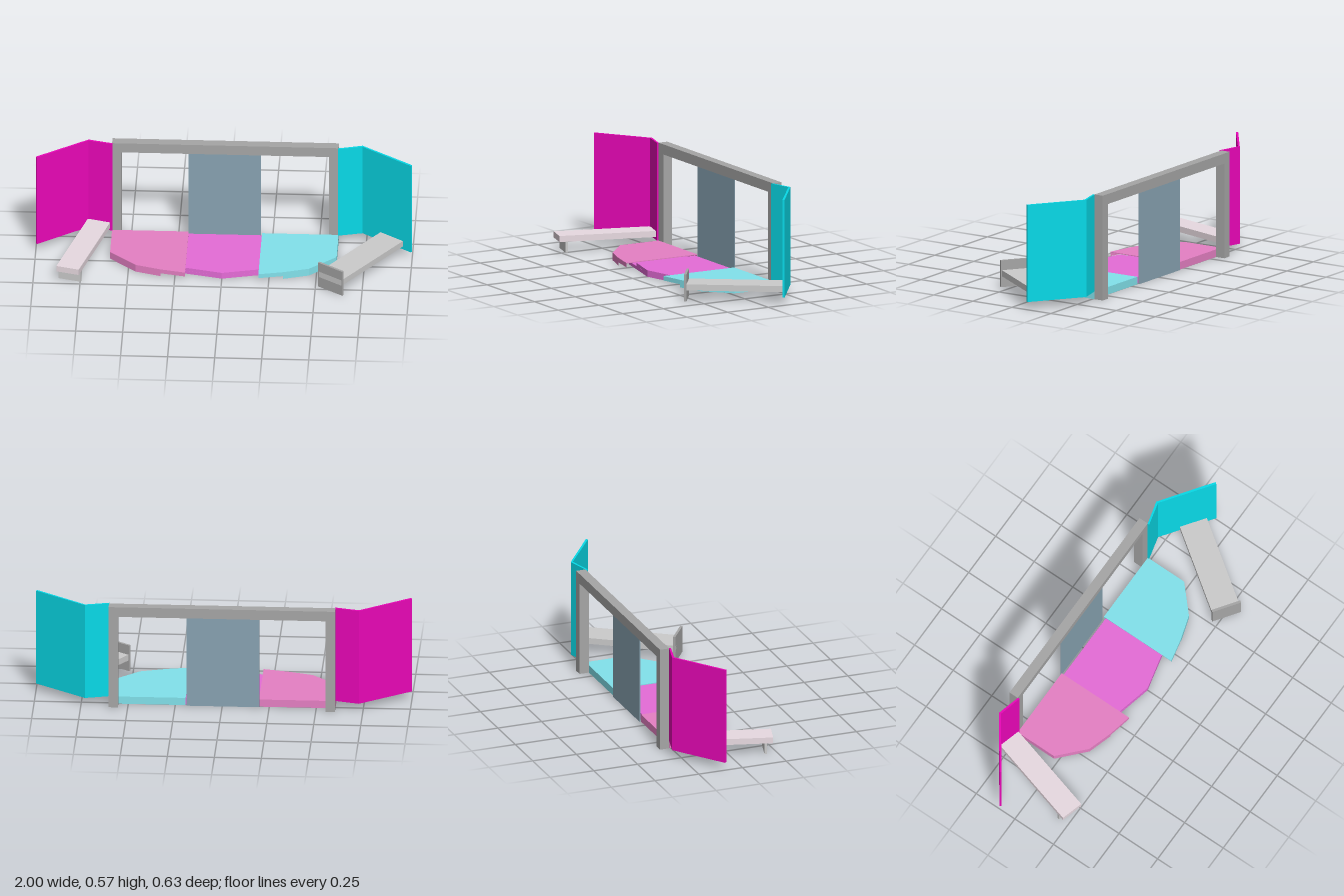
import * as THREE from 'three';

const mat = (color) => new THREE.MeshStandardMaterial({ color, flatShading: true, side: THREE.DoubleSide });

function add(parent, name, geometry, material, x = 0, y = 0, z = 0) {
  const mesh = new THREE.Mesh(geometry, material);
  mesh.name = name;
  mesh.position.set(x, y, z);
  parent.add(mesh);
  return mesh;
}

// Upright prism from a plan outline of [x, z] points
function prism(points, height) {
  const shape = new THREE.Shape(points.map(([x, z]) => new THREE.Vector2(x, -z)));
  return new THREE.ExtrudeGeometry(shape, { depth: height, bevelEnabled: false }).rotateX(-Math.PI / 2);
}

// Thin wall following a plan path; bottoms gives the lower edge of each segment
function wall(points, bottoms, top) {
  const pos = [];
  bottoms.forEach((b, i) => {
    const [x0, z0] = points[i], [x1, z1] = points[i + 1];
    pos.push(x0, b, z0, x1, b, z1, x1, top, z1, x0, b, z0, x1, top, z1, x0, top, z0);
  });
  const g = new THREE.BufferGeometry();
  g.setAttribute('position', new THREE.Float32BufferAttribute(pos, 3));
  g.computeVertexNormals();
  return g;
}

// Flat arm running from start to end in plan, with a plate (width, height, depth, setback) near its tip
function arm(name, start, end, width, material, plate, plateMaterial) {
  const dx = end[0] - start[0], dz = end[1] - start[1];
  const length = Math.hypot(dx, dz);
  const [w, h, d, setback] = plate;
  const group = new THREE.Group();
  group.name = name;
  group.position.set(start[0], 0, start[1]);
  group.rotation.y = Math.atan2(dx, dz);
  add(group, name + 'Beam', new THREE.BoxGeometry(width, 0.033, length), material, 0, 0.076, length / 2);
  add(group, name + 'EndPlate', new THREE.BoxGeometry(w, h, d), plateMaterial, 0, h / 2, length - setback - d / 2);
  return group;
}

export function createModel() {
  const model = new THREE.Group();
  const grey = mat(0xcccccc), darkGrey = mat(0xa6a6a6), slate = mat(0x88a3b2), floorPink = mat(0xe66cd8);

  // Open frame: two posts and a top beam
  const frame = new THREE.Group();
  frame.name = 'frame';
  model.add(frame);
  for (const s of [-1, 1])
    add(frame, s > 0 ? 'leftPost' : 'rightPost', new THREE.BoxGeometry(0.05, 0.517, 0.053), darkGrey, s * 0.577, 0.2585, -0.287);
  add(frame, 'topBeam', new THREE.BoxGeometry(1.204, 0.055, 0.053), darkGrey, 0, 0.5445, -0.287);

  // Centre back panel
  add(model, 'backPanel', new THREE.BoxGeometry(0.386, 0.517, 0.004), slate, -0.004, 0.2585, -0.266);

  // Middle floor: wide base slab with a raised centre
  const mirrored = (pts) => [...pts, ...pts.slice().reverse().map(([x, z]) => [-x, z])];
  add(model, 'floorBase', prism(mirrored([[0.4, -0.248], [0.4, -0.075], [0.325, 0.084], [0.001, 0.16]]), 0.017), floorPink);
  add(model, 'floorCentre', prism(mirrored([[0.195, -0.248], [0.195, 0.114], [0.001, 0.16]]), 0.035), floorPink);

  for (const s of [-1, 1]) {
    const side = s > 0 ? 'left' : 'right';
    const flip = (pts) => pts.map(([x, z]) => [s * x, z]);

    // Hollow side floor: top plate and skirt, raised at the front to clear the base
    const floorMat = mat(s > 0 ? 0x82e2ec : 0xe680c4);
    const plan = flip([[0.195, 0.176], [0.325, 0.148], [0.46, 0.106], [0.602, -0.025], [0.602, -0.26], [0.195, -0.26]]);
    const floor = new THREE.Group();
    floor.name = side + 'Floor';
    add(floor, side + 'FloorTop', prism(plan, 0.004), floorMat, 0, 0.037, 0);
    add(floor, side + 'FloorSkirt', wall(plan, [0.017, 0, 0, 0, 0], 0.041), floorMat);
    model.add(floor);

    // Folded side screen
    const fold = [[0.6, -0.26], [0.728, -0.294], [1, -0.1]];
    const band = [...fold, [0.993, -0.09], [0.728, -0.282], [0.6, -0.25]];
    add(model, side + 'Screen', prism(flip(band), 0.53), mat(s > 0 ? 0x08dae8 : 0xea06b8), 0, 0.042, 0);
  }

  // Arms in front of the side screens
  model.add(arm('leftArm', [0.89, -0.168], [0.581, 0.266], 0.152, grey, [0.162, 0.146, 0.013, 0], darkGrey));
  model.add(arm('rightArm', [-0.672, -0.266], [-0.816, 0.242], 0.125, mat(0xe8dae1), [0.125, 0.06, 0.014, 0.033], grey));

  return model;
}
